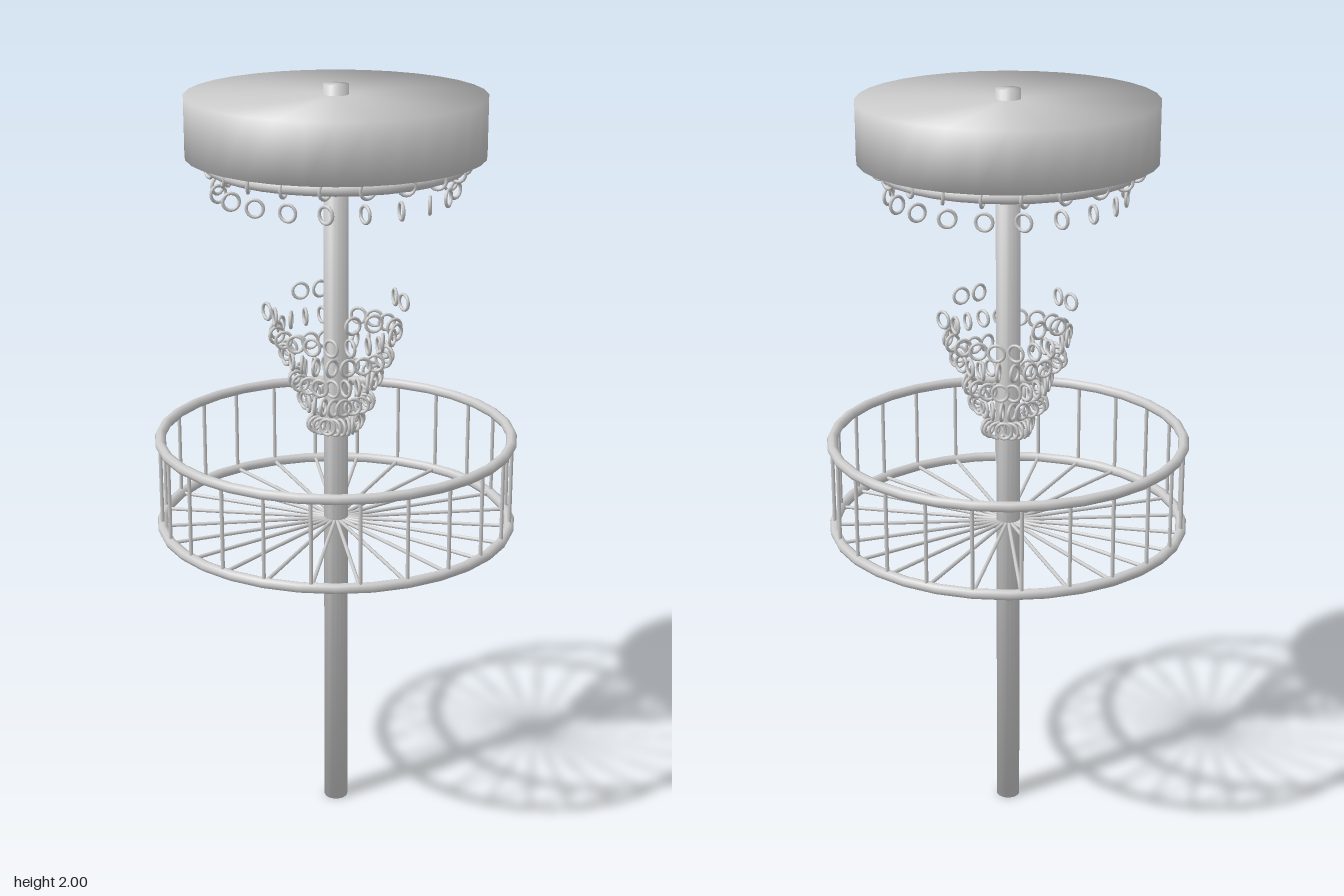
import * as THREE from 'three';

const steel = new THREE.MeshStandardMaterial({ color: 0xcccccc });
steel.name = 'grey steel';

function add(parent, name, geometry) {
  const mesh = new THREE.Mesh(geometry, steel);
  mesh.name = name;
  parent.add(mesh);
  return mesh;
}

// Closed cylinder whose normals run smoothly round the rims into the caps
function softCylinder(radius, y0, y1, sides) {
  const g = new THREE.CylinderGeometry(radius, radius, y1 - y0, sides);
  const p = g.attributes.position, n = g.attributes.normal;
  for (let i = 0; i < p.count; i++) {
    const x = p.getX(i) / radius, z = p.getZ(i) / radius;
    const v = new THREE.Vector3(x * 3, Math.sign(p.getY(i)) * 2, z * 3).normalize();
    n.setXYZ(i, v.x, v.y, v.z);
  }
  return g.translate(0, (y0 + y1) / 2, 0);
}

// Horizontal hoop
const hoop = (radius, tube, y) =>
  new THREE.TorusGeometry(radius, tube, 8, 32).rotateX(Math.PI / 2).translate(0, y, 0);

export function createModel() {
  const model = new THREE.Group();
  model.name = 'discBasket';

  add(model, 'pole', softCylinder(0.032, 0, 2, 16));
  add(model, 'topDrum', softCylinder(0.379, 1.825, 1.975, 32));
  add(model, 'chainHoop', hoop(0.318, 0.014, 1.803));

  // Basket: two hoops, upright bars and floor spokes
  const basket = new THREE.Group();
  basket.name = 'basket';
  model.add(basket);
  add(basket, 'lowerHoop', hoop(0.463, 0.014, 0.845));
  add(basket, 'upperHoop', hoop(0.463, 0.014, 1.08));
  const barGeo = new THREE.CylinderGeometry(0.005, 0.005, 0.235, 8).translate(0.463, 0.9625, 0);
  const spokeGeo = new THREE.CylinderGeometry(0.005, 0.005, 0.463, 8)
    .rotateZ(Math.PI / 2).translate(0.2315, 0.845, 0);
  for (let i = 0; i < 24; i++) {
    const a = (i * Math.PI) / 12;
    add(basket, 'bar', barGeo).rotation.y = a;
    add(basket, 'spoke', spokeGeo).rotation.y = a;
  }

  // Chain links in rows: radius, height, whether the link faces along z at the +x side
  const chains = new THREE.Group();
  chains.name = 'chains';
  model.add(chains);
  const rows = [
    [0.322, 1.803, true],
    [0.3, 1.74, false],
    [0.181, 1.43, true],
    [0.156, 1.365, false],
    [0.132, 1.305, true],
    [0.107, 1.242, false],
    [0.084, 1.182, true],
    [0.058, 1.12, false],
  ];
  const linkAlongZ = new THREE.TorusGeometry(0.021, 0.0043, 8, 16);
  const linkAlongX = linkAlongZ.clone().rotateY(Math.PI / 2);
  rows.forEach(([r, y, alongZ], row) => {
    for (let k = 0; k < 20; k++) {
      // The loose row keeps only a pair of links in each quarter
      if (row === 2 && k % 5 !== 2 && k % 5 !== 3) continue;
      const a = (k * Math.PI) / 10;
      const link = add(chains, 'chainLink', alongZ ? linkAlongZ : linkAlongX);
      link.position.set(r * Math.cos(a), y, r * Math.sin(a));
      // Each link turns against its way round the pole
      link.rotation.y = a;
    }
  });
  return model;
}
